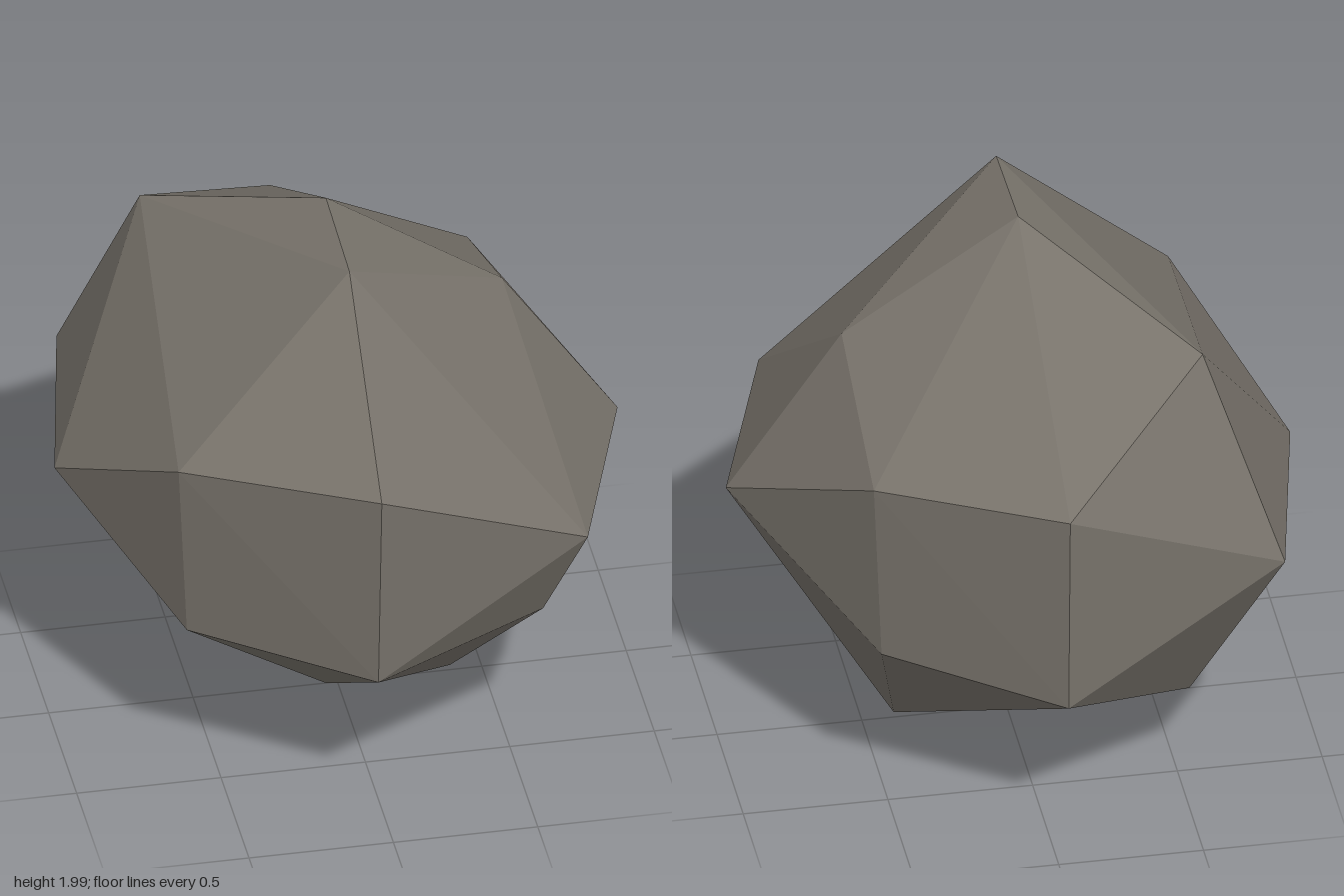
import * as THREE from 'three';
import { ConvexGeometry } from 'three/addons/geometries/ConvexGeometry.js';

// Corners of the boulder, from the crown down to the base
const corners = [
  // crown
  [-0.04, 1.985, 0], [-0.04, 1.96, 0.42], [0.57, 1.58, 0], [-0.58, 1.71, -0.54],
  // shoulder
  [-0.04, 1.39, 1], [-0.04, 1.38, -1], [-0.67, 1.35, 0.62], [0.57, 1.34, -0.62],
  // waist
  [0.97, 1, 0], [-0.98, 1, 0], [0.72, 1, 0.76], [-0.82, 1, -0.79],
  // underside
  [-0.04, 0.62, 0.94], [-0.04, 0.61, -0.97], [0.59, 0.64, 0.63],
  [-0.63, 0.66, 0.56], [0.54, 0.66, -0.6], [-0.54, 0.34, -0.51],
  // base
  [0.39, 0.02, 0], [-0.04, 0, 0],
];

export function createModel() {
  const stone = new THREE.MeshStandardMaterial({ color: 0x78736b, flatShading: true });
  stone.name = 'stone';

  // Faceted boulder: the hull over its corners
  const points = corners.map((c) => new THREE.Vector3(...c));
  const boulder = new THREE.Mesh(new ConvexGeometry(points), stone);
  boulder.name = 'boulder';

  const model = new THREE.Group();
  model.name = 'rock';
  model.add(boulder);
  return model;
}
